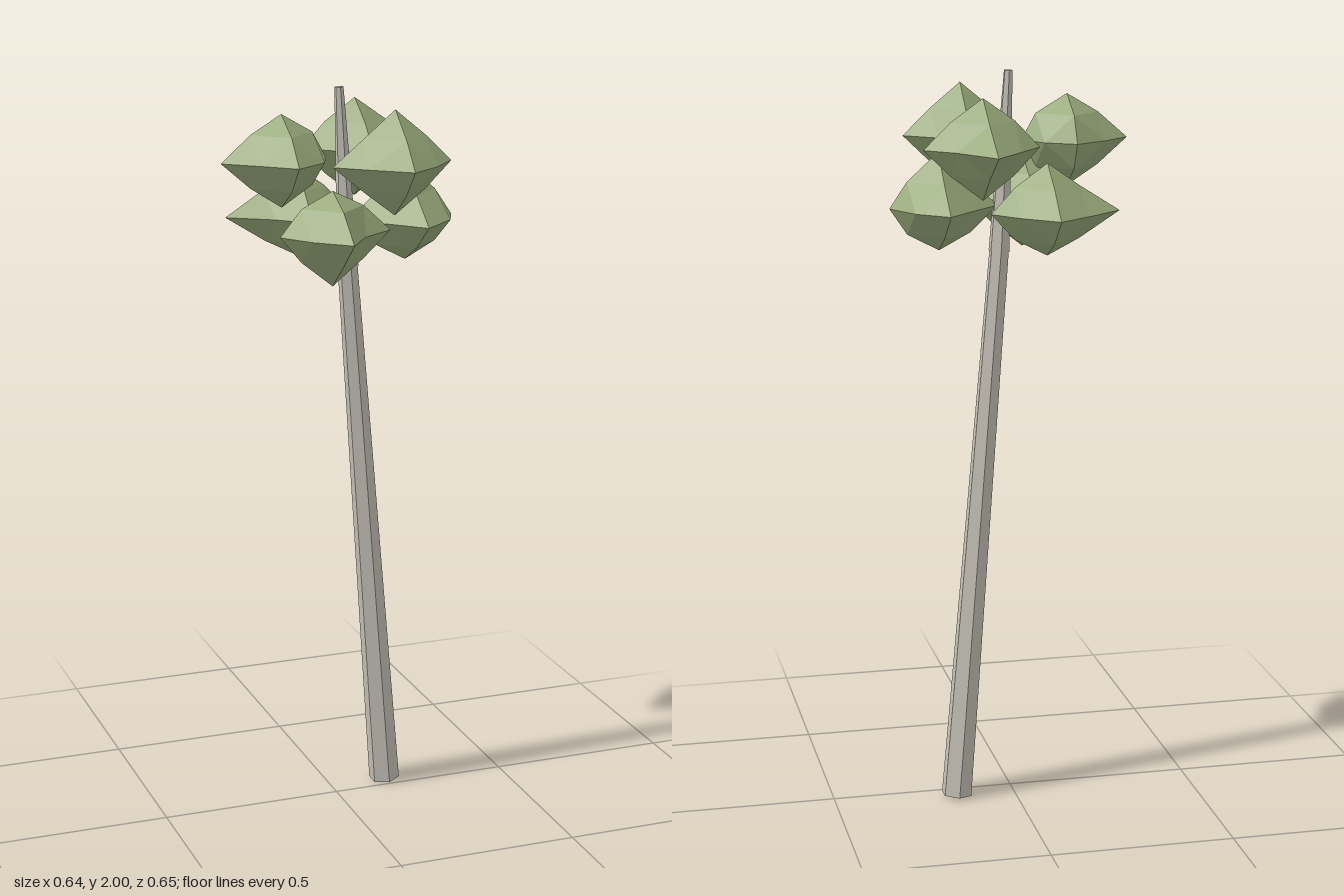
import * as THREE from 'three';

const bark = new THREE.MeshStandardMaterial({ color: 0xc4c0b6, flatShading: true });
const leaf = new THREE.MeshStandardMaterial({ color: 0x9aac7c, flatShading: true });

// Six-sided tapered limb between two points
function limb(name, from, to, r0, r1) {
  const a = new THREE.Vector3(...from), b = new THREE.Vector3(...to);
  const dir = b.clone().sub(a);
  const mesh = new THREE.Mesh(new THREE.CylinderGeometry(r1, r0, dir.length(), 6), bark);
  mesh.name = name;
  mesh.position.copy(a).add(b).multiplyScalar(0.5);
  mesh.quaternion.setFromUnitVectors(new THREE.Vector3(0, 1, 0), dir.normalize());
  return mesh;
}

// Spiky leaf clump: a subdivided octahedron whose six tips are pulled out to
// their own lengths; corners are the horizontal mid-edge points, by quadrant
function clump({ name, at, lo, hi, corners }) {
  const geo = new THREE.OctahedronGeometry(1, 1);
  const pos = geo.attributes.position;
  const mid = [0.085, 0.07, 0.083];
  for (let i = 0; i < pos.count; i++) {
    const v = [pos.getX(i), pos.getY(i), pos.getZ(i)];
    const isTip = v.some((c) => Math.abs(c) > 0.9);
    let p = v.map((c, k) => {
      if (Math.abs(c) < 0.1) return 0;
      if (isTip) return c > 0 ? hi[k] : -lo[k];
      return Math.sign(c) * mid[k];
    });
    if (!isTip && p[1] === 0) {
      const [x, z] = corners[(v[0] > 0 ? 1 : 0) + (v[2] > 0 ? 2 : 0)];
      p = [Math.sign(v[0]) * x, 0, Math.sign(v[2]) * z];
    }
    pos.setXYZ(i, ...p);
  }
  geo.computeVertexNormals();
  const mesh = new THREE.Mesh(geo, leaf);
  mesh.name = name;
  mesh.position.set(...at);
  return mesh;
}

// lo / hi: tip lengths towards -x,-y,-z and +x,+y,+z
// corners: back right, back left, front right, front left
const clumps = [
  { name: 'upperBackClump', at: [0.101, 1.815, -0.135], lo: [0.151, 0.135, 0.193], hi: [0.157, 0.13, 0.145],
    corners: [[0.08, 0.09], [0.083, 0.067], [0.08, 0.065], [0.099, 0.09]] },
  { name: 'upperSideClump', at: [-0.157, 1.815, 0.013], lo: [0.165, 0.125, 0.12], hi: [0.124, 0.12, 0.142],
    corners: [[0.09, 0.068], [0.077, 0.073], [0.075, 0.075], [0.092, 0.077]] },
  { name: 'upperFrontClump', at: [0.101, 1.815, 0.163], lo: [0.171, 0.135, 0.15], hi: [0.157, 0.14, 0.142],
    corners: [[0.08, 0.08], [0.072, 0.068], [0.1, 0.062], [0.083, 0.082]] },
  { name: 'lowerBackClump', at: [-0.07, 1.643, -0.135], lo: [0.195, 0.113, 0.157], hi: [0.15, 0.13, 0.15],
    corners: [[0.088, 0.09], [0.09, 0.075], [0.08, 0.075], [0.08, 0.085]] },
  { name: 'lowerFrontClump', at: [-0.07, 1.643, 0.163], lo: [0.143, 0.138, 0.15], hi: [0.16, 0.112, 0.162],
    corners: [[0.08, 0.08], [0.065, 0.083], [0.085, 0.084], [0.065, 0.068]] },
  { name: 'lowerSideClump', at: [0.19, 1.643, 0.013], lo: [0.16, 0.115, 0.17], hi: [0.132, 0.147, 0.17],
    corners: [[0.09, 0.07], [0.08, 0.1], [0.09, 0.07], [0.097, 0.082]] },
];

export function createModel() {
  const tree = new THREE.Group();
  tree.name = 'tree';
  // Leaning trunk with a thinner tip
  tree.add(limb('trunk', [0.162, 0.004, -0.045], [0.026, 1.53, 0.013], 0.043, 0.027));
  tree.add(limb('trunkTip', [0.027, 1.52, 0.013], [0, 1.999, 0.019], 0.029, 0.012));
  // Two tiers of three clumps
  for (const c of clumps) tree.add(clump(c));
  return tree;
}
